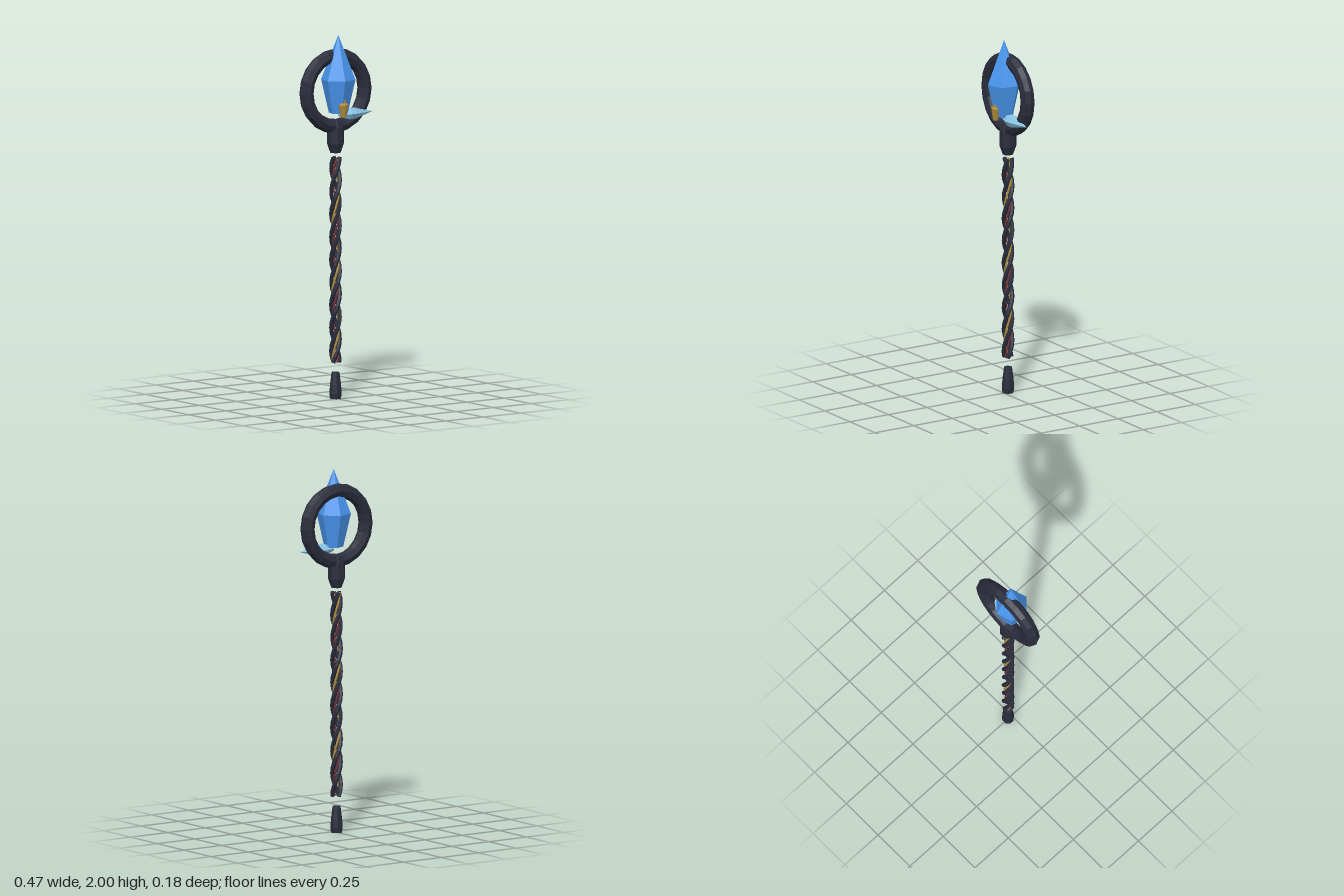
import * as THREE from 'three';

const AXIS_Z = -0.026; // the shaft and ring sit slightly behind the crystal

const paint = (color) => new THREE.MeshStandardMaterial({ color, flatShading: true });

// Faceted solid of revolution from [radius, y] pairs, listed bottom to top
function turned(name, profile, sides, material, phase = 0) {
  const points = profile.map(([r, y]) => new THREE.Vector2(r, y));
  const mesh = new THREE.Mesh(new THREE.LatheGeometry(points, sides, phase), material);
  mesh.name = name;
  return mesh;
}

// Strand winding around the shaft axis, with closed ends
function strand(name, phase, helixRadius, thickness, material) {
  const bottom = 0.2, top = 1.325, turns = 3, steps = 36;
  const points = [];
  for (let i = 0; i <= steps; i++) {
    const t = i / steps;
    const a = (t * turns + phase) * Math.PI * 2;
    points.push(new THREE.Vector3(
      Math.sin(a) * helixRadius, bottom + (top - bottom) * t, Math.cos(a) * helixRadius));
  }
  const curve = new THREE.CatmullRomCurve3(points);
  const group = new THREE.Group();
  group.name = name;
  const tube = new THREE.Mesh(new THREE.TubeGeometry(curve, steps, thickness, 6), material);
  tube.name = name + 'Tube';
  group.add(tube);
  for (const end of [0, 1]) {
    const cap = new THREE.Mesh(new THREE.CircleGeometry(thickness, 6), material);
    cap.position.copy(curve.getPointAt(end));
    const outward = curve.getTangentAt(end).multiplyScalar(end ? 1 : -1);
    cap.quaternion.setFromUnitVectors(new THREE.Vector3(0, 0, 1), outward);
    cap.name = name + 'End';
    group.add(cap);
  }
  return group;
}

export function createModel() {
  const model = new THREE.Group();
  model.name = 'staff';
  const dark = paint(0x2a2d3c);
  const gold = paint(0xb08d3c);
  const red = paint(0x7a3038);

  // Foot, braided shaft and socket share one axis
  const shaft = new THREE.Group();
  shaft.name = 'shaft';
  shaft.position.z = AXIS_Z;
  model.add(shaft);

  shaft.add(turned('foot',
    [[0, 0], [0.031, 0], [0.034, 0.03], [0.031, 0.075], [0.022, 0.145], [0, 0.145]],
    8, dark, Math.PI / 8));

  for (let i = 0; i < 3; i++) {
    shaft.add(strand('braidStrand' + (i + 1), -0.186 + i / 3, 0.023, 0.012, dark));
  }
  shaft.add(strand('goldWire', -0.353, 0.018, 0.006, gold));
  shaft.add(strand('redWire', -0.02, 0.016, 0.005, red));

  shaft.add(turned('socket',
    [[0, 1.35], [0.029, 1.35], [0.047, 1.4], [0.046, 1.49], [0.038, 1.525], [0, 1.525]],
    8, dark, Math.PI / 8));

  // Ring
  const ring = new THREE.Mesh(new THREE.TorusGeometry(0.194, 0.039, 8, 20), dark);
  ring.name = 'ring';
  ring.position.set(0, 1.69, AXIS_Z);
  model.add(ring);

  // Large crystal
  model.add(turned('crystal',
    [[0, 1.572], [0.052, 1.572], [0.094, 1.755], [0, 2]],
    6, paint(0x4a97f0), THREE.MathUtils.degToRad(47.5)));

  // Small gold bud in front of the crystal
  const bud = turned('bud',
    [[0, 1.555], [0.018, 1.555], [0.024, 1.585], [0.031, 1.62], [0.018, 1.632], [0.017, 1.643], [0, 1.665]],
    6, gold);
  bud.scale.z = 0.65;
  bud.position.set(-0.004, 0, 0.054);
  model.add(bud);

  // Pale shard lying sideways
  const shard = turned('shard',
    [[0, 0], [0.014, 0.005], [0.035, 0.065], [0.033, 0.105], [0, 0.228]],
    6, paint(0x8cc8e8));
  shard.rotation.z = -Math.PI / 2;
  shard.position.set(0, 1.562, 0.002);
  model.add(shard);

  return model;
}
